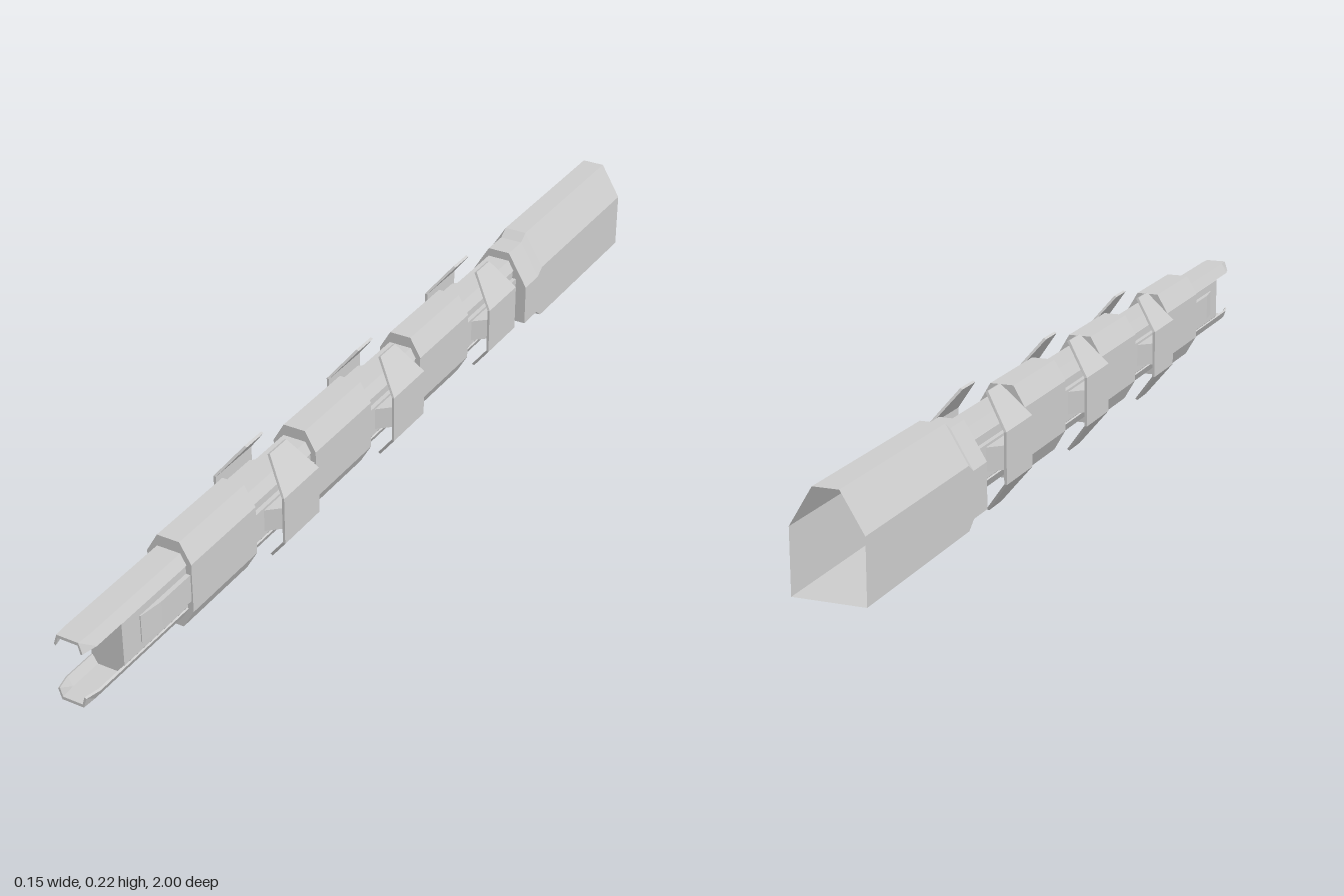
import * as THREE from 'three';

const MID = 0.112; // height of the long axis
const material = new THREE.MeshStandardMaterial({ color: 0xcccccc, flatShading: true, side: THREE.DoubleSide });

// Skin a list of rings (even point count); ends are closed with strips of quads.
function loft(rings, capStart = true, capEnd = true) {
  const pos = [];
  const quad = (a, b, c, d) => [a, b, c, a, c, d].forEach((p) => pos.push(...p));
  const n = rings[0].length;
  for (let r = 0; r < rings.length - 1; r++) {
    const A = rings[r], B = rings[r + 1];
    for (let i = 0; i < n; i++) {
      const j = (i + 1) % n;
      quad(A[i], A[j], B[j], B[i]);
    }
  }
  const S = rings[0], E = rings[rings.length - 1];
  for (let i = 0; i < n / 2 - 1; i++) {
    const q = [i, i + 1, n - 2 - i, n - 1 - i];
    if (capEnd) quad(...q.map((k) => E[k]));
    if (capStart) quad(...q.reverse().map((k) => S[k]));
  }
  const g = new THREE.BufferGeometry();
  g.setAttribute('position', new THREE.Float32BufferAttribute(pos, 3));
  g.computeVertexNormals();
  return g;
}

const at = (profile, z) => profile.map(([x, y]) => [x, y, z]);

// Octagon around the axis: half width, half height, half flat top, half straight side
const octagon = (w, h, t, s) => [
  [w, -s], [w, s], [t, h], [-t, h], [-w, s], [-w, -s], [-t, -h], [t, -h],
].map(([x, y]) => [x, y + MID]);

export function createModel() {
  const model = new THREE.Group();
  const add = (name, geometry, parent = model) => {
    const mesh = new THREE.Mesh(geometry, material);
    mesh.name = name;
    parent.add(mesh);
    return mesh;
  };
  // Adds a part and its copy turned half a turn about the long axis
  const addPair = (name, geometry) => {
    add(name, geometry);
    const copy = add(name + 'Opposite', geometry);
    copy.rotation.z = Math.PI;
    copy.position.y = 2 * MID;
  };

  // Core bar
  const core = octagon(0.034, 0.061, 0.022, 0.043);
  add('core', loft([at(core, -0.56), at(core, 0.9)]));

  // Folded cover strips above and below, overhanging the front
  const strip = (w, t) => [
    [w, 0.158], [t, 0.179], [-t, 0.179], [-w, 0.158],
    [-w + 0.004, 0.156], [-t + 0.002, 0.173], [t - 0.002, 0.173], [w - 0.004, 0.156],
  ];
  addPair('coverStrip', loft([
    at(strip(0.036, 0.024), -0.56), at(strip(0.036, 0.024), 0.97), at(strip(0.029, 0.022), 1),
  ]));

  // Side rails with tapered front ends
  const rail = (x) => [[0.03, 0.085], [x, 0.085], [x, 0.14], [0.03, 0.14]];
  addPair('sideRail', loft([at(rail(0.043), -0.56), at(rail(0.043), 0.8), at(rail(0.036), 0.85)]));

  // Octagonal sleeves
  const sleeve = octagon(0.046, 0.09, 0.023, 0.05);
  for (const z of [0.61, 0.2, -0.2]) {
    add('sleeve', loft([at(sleeve, z - 0.102), at(sleeve, z + 0.102)]));
  }

  // Bent side fins on tapered brackets
  const finRows = [[0.027, 0, 0.028], [0.076, 0.063, 0.06], [0.076, 0.161, 0.06], [0.027, 0.224, 0.028]];
  const finRing = ([x, y, h]) => {
    const inner = x - 0.005;
    const yi = y + (MID - y) * 0.02;
    return [[x, y, h], [x, y, -h], [inner, yi, -h], [inner, yi, h]];
  };
  const bracketRing = (x, h) => [
    [x, 0.09, -h], [x, 0.135, -h], [x, 0.135, h], [x, 0.09, h],
  ];
  for (const z of [0.4, 0, -0.4]) {
    addPair('fin', loft(finRows.map(finRing)).translate(0, 0, z));
    addPair('finBracket', loft([bracketRing(0.034, 0.085), bracketRing(0.072, 0.05)]).translate(0, 0, z));
  }

  // Rear housing: stepped front lip, hollow and open at the back
  const shell = (bottom, shoulder, top) => [
    [0.067, bottom], [0.067, shoulder], [0.024, top], [-0.024, top], [-0.067, shoulder], [-0.067, bottom],
  ];
  const body = shell(0.022, 0.14, 0.211);
  const lip = shell(0.038, 0.125, 0.197);
  add('rearHousing', loft([at(body, -1), at(body, -0.605), at(lip, -0.585), at(lip, -0.527)], false, true));

  return model;
}
